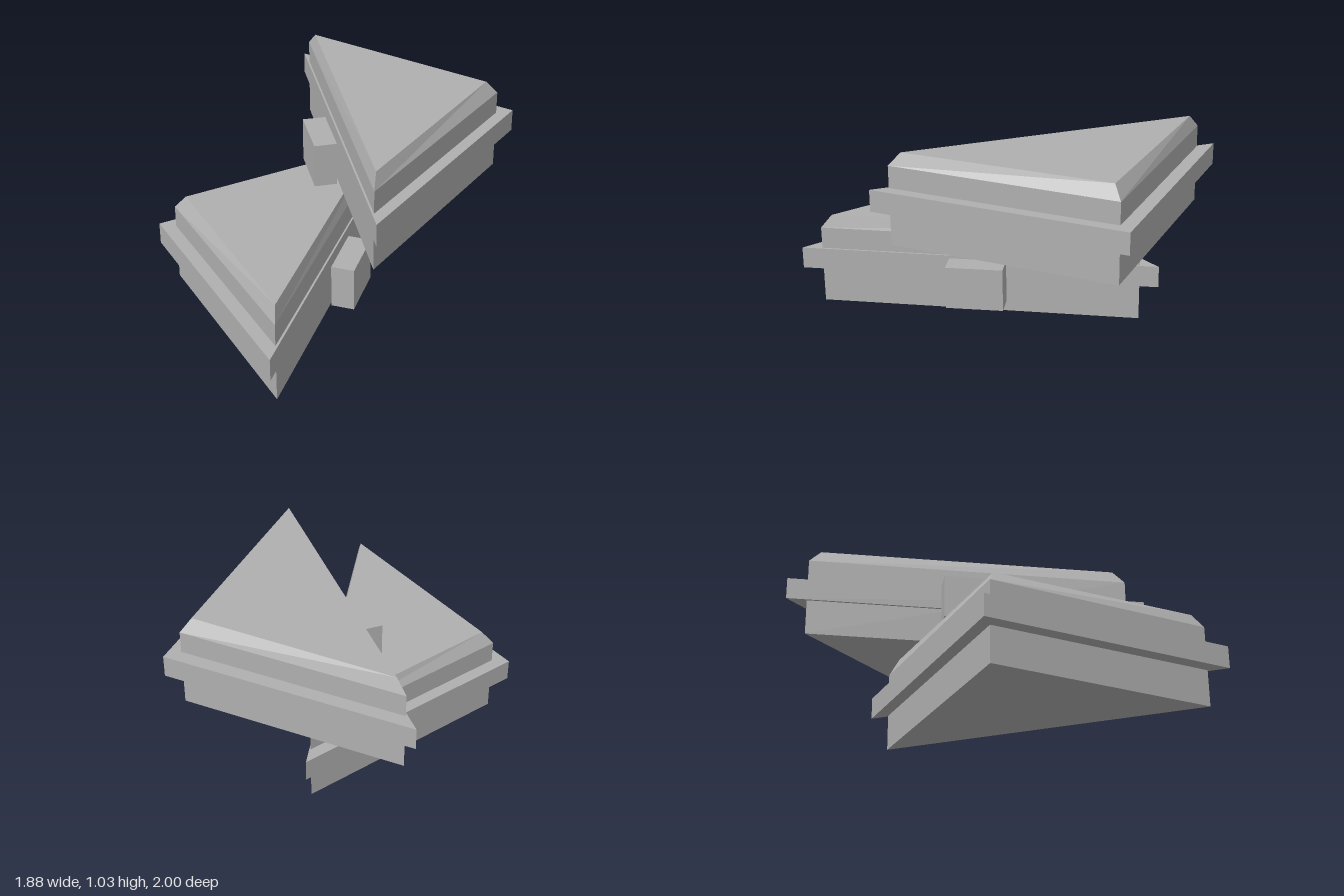
import * as THREE from 'three';

const grey = new THREE.MeshStandardMaterial({ color: 0xb0b0b0 });
grey.name = 'grey';

// Closed solid through stacked rings; each level is [y, [x, z] corners], counter-clockwise from above
function loft(name, levels) {
  const rings = levels.map(([y, pts]) => pts.map(([x, z]) => [x, y, z]));
  const n = rings[0].length, last = rings.length - 1, pos = [];
  const tri = (...corners) => corners.forEach((c) => pos.push(...c));
  for (let k = 0; k < last; k++) {
    for (let i = 0; i < n; i++) {
      const j = (i + 1) % n, a = rings[k], b = rings[k + 1];
      tri(a[i], a[j], b[j]);
      tri(a[i], b[j], b[i]);
    }
  }
  for (let i = 1; i < n - 1; i++) {
    tri(rings[last][0], rings[last][i], rings[last][i + 1]);
    tri(rings[0][0], rings[0][i + 1], rings[0][i]);
  }
  const geo = new THREE.BufferGeometry();
  geo.setAttribute('position', new THREE.Float32BufferAttribute(pos, 3));
  geo.computeVertexNormals();
  const mesh = new THREE.Mesh(geo, grey);
  mesh.name = name;
  return mesh;
}

// Wedge block: bevelled triangular body, surrounding flange and a side tab
function wedge(name, y, { body, top, flange, tab }) {
  const group = new THREE.Group();
  group.name = name;
  group.position.y = y;
  group.add(
    loft('body', [[0, body], [0.445, body], [0.517, top]]),
    loft('flange', [[0.2, flange], [0.322, flange]]),
    loft('tab', [[0.077, tab], [0.32, tab]]),
  );
  return group;
}

export function createModel() {
  const model = new THREE.Group();
  model.name = 'stackedWedges';
  model.add(
    wedge('lowerWedge', 0, {
      body: [[-0.868, -0.33], [-0.868, 0.91], [0.412, -0.33]],
      top: [[-0.818, -0.285], [-0.838, 0.855], [0.345, -0.3]],
      flange: [[-0.94, -0.397], [-0.94, 0.997], [0.492, -0.397]],
      tab: [[-0.312, 0.43], [-0.225, 0.52], [0, 0.297], [-0.088, 0.207]],
    }),
    wedge('upperWedge', 0.518, {
      body: [[0.245, -0.89], [-0.28, 0.815], [0.84, 0.2]],
      top: [[0.25, -0.82], [-0.24, 0.76], [0.775, 0.182]],
      flange: [[0.268, -1], [-0.32, 0.91], [0.936, 0.22]],
      tab: [[-0.13, -0.238], [-0.217, 0.068], [-0.1, 0.1], [-0.01, -0.203]],
    }),
  );
  return model;
}
